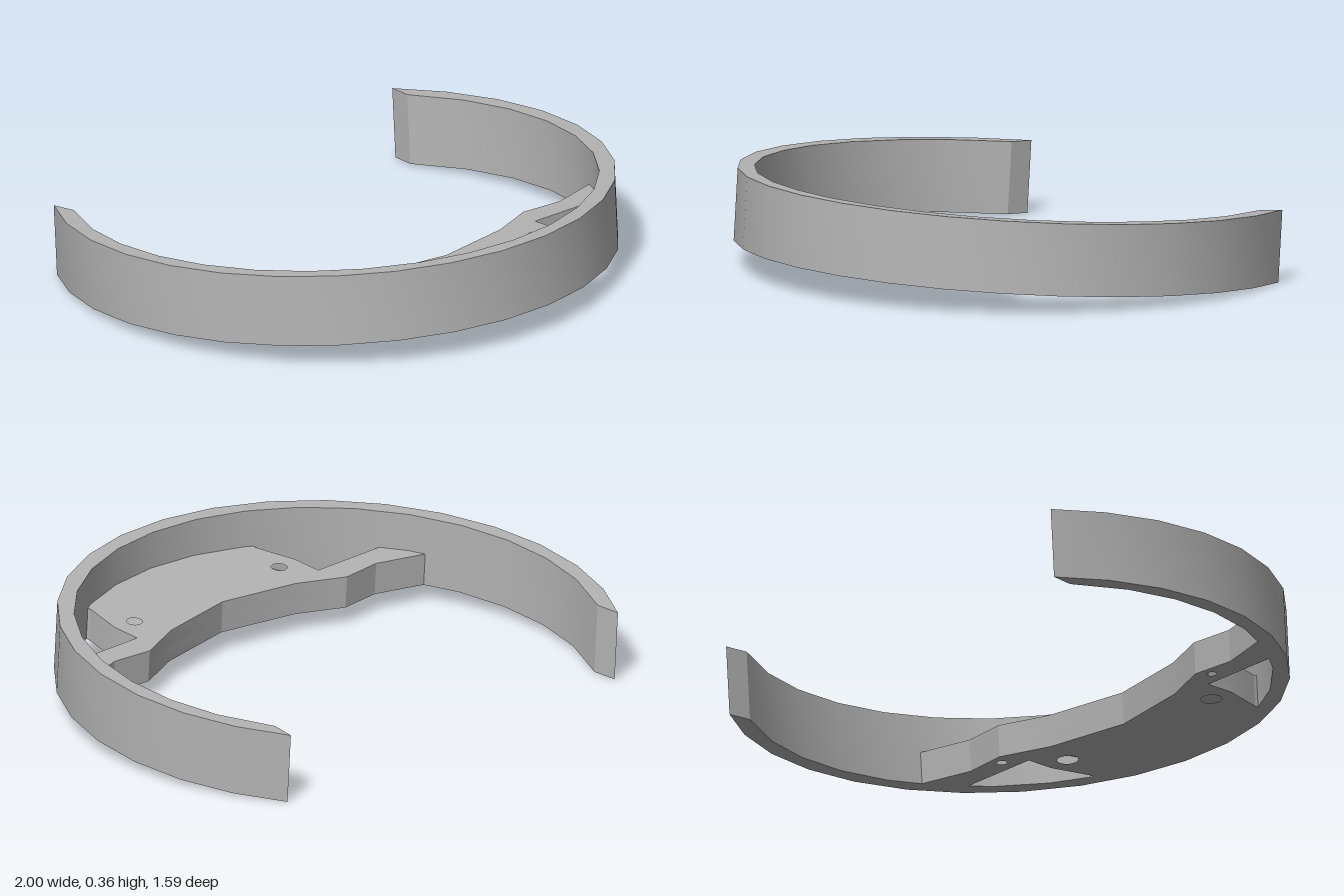
import * as THREE from 'three';
import { toCreasedNormals } from 'three/addons/utils/BufferGeometryUtils.js';

const grey = new THREE.MeshStandardMaterial({ color: 0xb4b4b4 });
grey.name = 'matte grey';

// point on a circle, angle in degrees from the front; shape y is -z
const polar = (r, deg) => {
  const a = THREE.MathUtils.degToRad(deg);
  return new THREE.Vector2(r * Math.sin(a), -r * Math.cos(a));
};

// flat outline raised from y to y + height
function slab(name, points, holes, y, height) {
  const shape = new THREE.Shape(points);
  for (const [x, z, r] of holes) {
    const path = new THREE.Path();
    path.absarc(x, -z, r, 0, Math.PI * 2, true);
    shape.holes.push(path);
  }
  const geo = new THREE.ExtrudeGeometry(shape, { depth: height, bevelEnabled: false, curveSegments: 10 });
  geo.rotateX(-Math.PI / 2);
  geo.translate(0, y, 0);
  const mesh = new THREE.Mesh(toCreasedNormals(geo, 0.3), grey);
  mesh.name = name;
  return mesh;
}

export function createModel() {
  const model = new THREE.Group();
  model.name = 'openBand';

  // open ring, with inner and outer facets offset by half a step
  const outer = [polar(1, -125.6)];
  for (let a = -114; a <= 114; a += 12) outer.push(polar(1, a));
  outer.push(polar(1, 125.6));
  const inner = [polar(0.94, 121.5)];
  for (let a = 108; a >= -108; a -= 12) inner.push(polar(0.94, a));
  inner.push(polar(0.94, -121.5));
  model.add(slab('band', [...outer, ...inner], [], 0, 0.26));

  // mounting plate: half outline from the back middle round to the front
  const R = 0.96; // buried in the band
  const v = (x, z) => new THREE.Vector2(x, -z);
  const half = [
    v(0.31, 0.524), v(0.49, 0.449), v(0.65, 0.464), v(0.845, 0.409),
    polar(R, 64.5), polar(R, 60), polar(R, 54.8),
    v(0.75, 0.554), v(0.45, 0.554), v(0.45, 0.669), v(0.41, 0.829),
    polar(R, 25.5), polar(R, 12),
  ];
  const mirrored = half.map(p => new THREE.Vector2(-p.x, p.y)).reverse();
  const outline = [v(0, 0.579), ...half, polar(R, 0), ...mirrored];

  // screw holes are wider underneath; the small pilot holes are blind
  const screw = r => [[0.36, 0.659, r], [-0.36, 0.659, r]];
  const pilot = [[0.525, 0.495, 0.018], [-0.525, 0.495, 0.018]];
  model.add(slab('plateLower', outline, [...screw(0.038), ...pilot], 0, 0.06));
  model.add(slab('plateUpper', outline, screw(0.029), 0.06, 0.06));

  // the band tips up slightly at the front
  model.rotation.x = -0.065;
  model.position.set(0, 0.04, -0.201);
  const root = new THREE.Group();
  root.name = 'model';
  root.add(model);
  return root;
}
